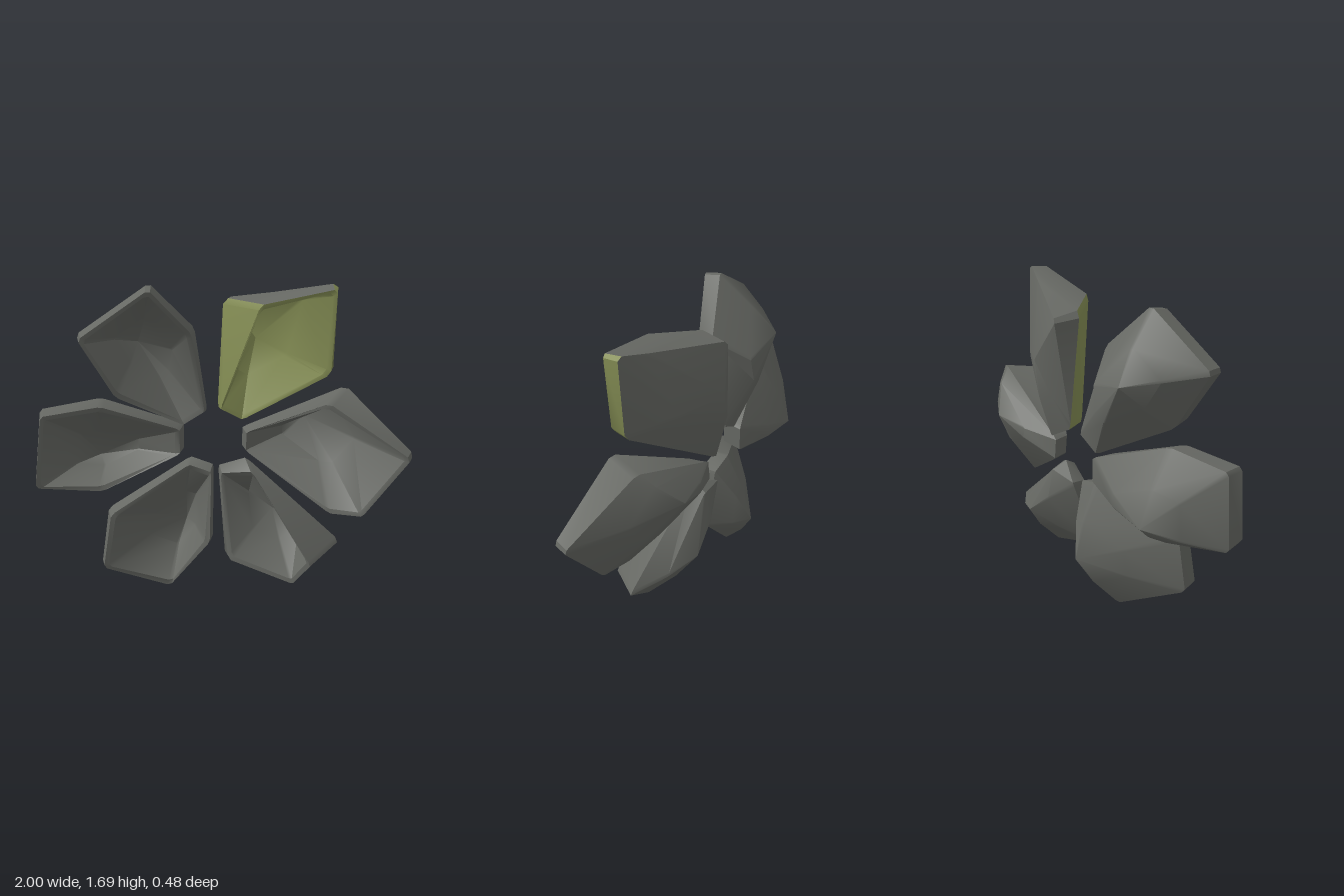
import * as THREE from 'three';
import { toCreasedNormals } from 'three/addons/utils/BufferGeometryUtils.js';

const V = (p) => new THREE.Vector3(...p);

// Replaces every corner of a loop by two points, blunting it
function blunt(loop, t = 0.045) {
  const n = loop.length;
  return loop.flatMap((p, i) => [
    p.clone().lerp(loop[(i + n - 1) % n], t),
    p.clone().lerp(loop[(i + 1) % n], t),
  ]);
}

// Moves a point a given distance towards another
const towards = (p, target, distance) => target.clone().sub(p).setLength(distance).add(p);

function meshFrom(name, points, material) {
  const geometry = new THREE.BufferGeometry().setFromPoints(points);
  const mesh = new THREE.Mesh(toCreasedNormals(geometry, 0.6), material);
  mesh.name = name;
  return mesh;
}

// A hollow shard. rim: front corners, counter-clockwise seen from the front.
// peak: rearmost point, floor: deepest point of the hollow, depth: rim thickness.
// wide and shoulder replace single corners of the back rim and the rear loop.
// Edges of the rim are painted like the hollow, except the plainEdge.
function makeShard(name, rim, { peak, floor, depth = 0.09, wide = {}, shoulder = {}, plainEdge = -1 }, shellColour, hollowColour) {
  const tip = V(peak), pit = V(floor);
  const frontCorners = rim.map(V);
  const middle = new THREE.Vector3();
  for (const p of frontCorners) middle.addScaledVector(p, 1 / rim.length);

  // Back rim: the front rim grown outward and pushed back
  const backCorners = frontCorners.map((p, i) =>
    wide[i] ? V(wide[i]) : towards(p, middle.clone().setZ(p.z), -0.02).setZ(p.z - depth));
  // Rear loop: halfway to the peak, bulging slightly
  const rearCorners = backCorners.map((p, i) =>
    shoulder[i] ? V(shoulder[i]) : p.clone().lerp(tip, 0.5).add(V([0, 0, -0.02])));

  const front = blunt(frontCorners), back = blunt(backCorners), rear = blunt(rearCorners);
  // Narrow lip, then an inner loop that follows the rear loop
  const lip = front.map((p) => towards(p, pit.clone().setZ(p.z), 0.026).setZ(p.z - 0.006));
  const inner = rear.map((p) => towards(p, middle, 0.05));

  const shell = [], hollow = [];
  const quad = (out, a, b, c, d) => out.push(a, b, c, a, c, d);
  const n = front.length;
  for (let i = 0; i < n; i++) {
    const j = (i + 1) % n;
    const plain = i === plainEdge * 2 + 1;
    quad(plain ? shell : hollow, back[i], back[j], front[j], front[i]);
    quad(shell, rear[i], rear[j], back[j], back[i]);
    shell.push(rear[j], rear[i], tip);
    quad(hollow, front[i], front[j], lip[j], lip[i]);
    quad(hollow, lip[i], lip[j], inner[j], inner[i]);
    hollow.push(inner[i], inner[j], pit);
  }

  const group = new THREE.Group();
  group.name = name;
  group.add(meshFrom('shell', shell, shellColour), meshFrom('hollow', hollow, hollowColour));
  return group;
}

export function createModel() {
  const stone = new THREE.MeshStandardMaterial({ color: 0x666863, side: THREE.DoubleSide });
  stone.name = 'stone grey';
  const olive = new THREE.MeshStandardMaterial({ color: 0x848d54, side: THREE.DoubleSide });
  olive.name = 'olive green';

  const model = new THREE.Group();
  model.name = 'shardRing';
  const add = (name, rim, shape, hollowColour = stone) =>
    model.add(makeShard(name, rim, shape, stone, hollowColour));

  add('upperLeftShard',
    [[0.11, 0.93, -0.08], [0.555, 1.24, 0.15], [0.575, 1.68, 0.16], [0.19, 1.6, 0.16], [-0.01, 1, -0.05]],
    {
      peak: [0.14, 1.35, -0.24], floor: [0.18, 1.36, -0.185], plainEdge: 2,
      wide: { 3: [0.005, 1.595, -0.05] }, shoulder: { 2: [0.44, 1.66, 0.01], 3: [0.03, 1.58, -0.19] },
    }, olive);

  add('leftShard',
    [[0.13, 0.76, -0.05], [0.57, 0.475, 0.15], [0.74, 0.475, 0.2], [0.98, 0.8, 0.22], [0.55, 1.09, 0.165], [0.13, 0.87, -0.04]],
    {
      peak: [0.5, 0.91, -0.23], floor: [0.45, 0.93, -0.17],
      wide: { 3: [1.01, 0.8, 0.14], 4: [0.66, 1.125, -0.06] }, shoulder: { 4: [0.62, 1.05, -0.13] },
    });

  add('lowerLeftShard',
    [[0.03, 0.21, 0.15], [0.38, 0.07, 0.17], [0.47, 0.21, 0.24], [0.16, 0.67, 0.03], [-0.01, 0.64, -0.03]],
    {
      peak: [0.3, 0.38, -0.18], floor: [0.28, 0.4, -0.13],
      wide: { 2: [0.645, 0.265, 0.03], 3: [0.13, 0.725, -0.05] }, shoulder: { 3: [0.14, 0.69, -0.13] },
    });

  add('lowerRightShard',
    [[-0.635, 0.195, 0.22], [-0.29, 0.012, 0.06], [-0.07, 0.27, 0.06], [-0.06, 0.66, 0.01], [-0.18, 0.7, 0], [-0.59, 0.49, 0.2]],
    { peak: [-0.19, 0.31, -0.24], floor: [-0.2, 0.32, -0.185] });

  add('rightShard',
    [[-0.985, 0.63, 0.17], [-0.645, 0.575, 0.07], [-0.23, 0.75, -0.03], [-0.23, 0.89, -0.03], [-0.64, 1.055, 0.1], [-0.94, 1.025, 0.18]],
    { peak: [-0.66, 0.7, -0.215], floor: [-0.67, 0.71, -0.16], depth: 0.11 });

  add('upperRightShard',
    [[-0.21, 0.92, -0.02], [-0.095, 0.99, -0.03], [-0.16, 1.44, 0.09], [-0.37, 1.68, 0.18], [-0.725, 1.44, 0.235], [-0.55, 1.13, 0.18]],
    { peak: [-0.47, 1.38, -0.2], floor: [-0.45, 1.35, -0.145], shoulder: { 2: [-0.25, 1.32, -0.17] } });

  return model;
}
